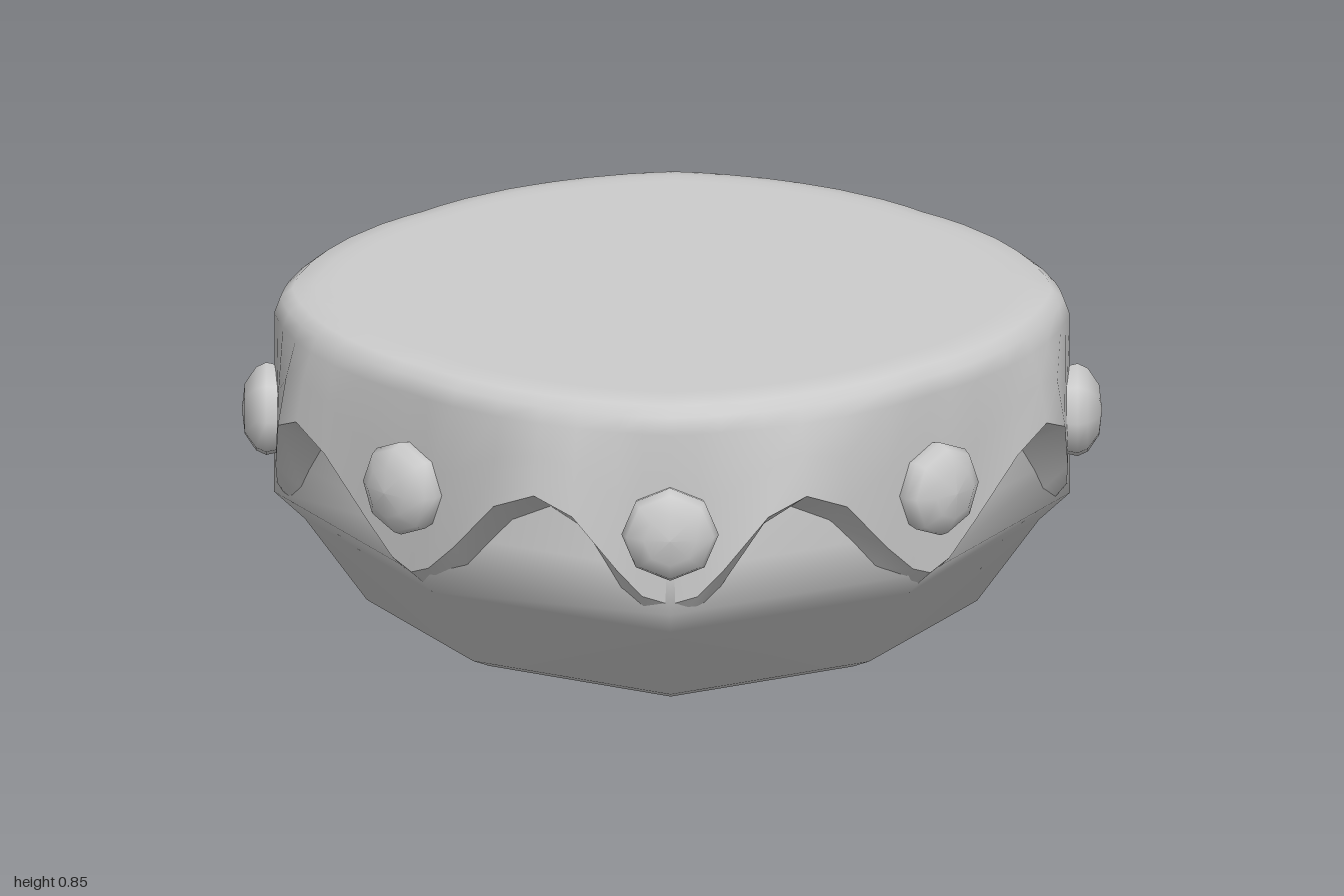
import * as THREE from 'three';

const material = new THREE.MeshStandardMaterial({ color: 0xcccccc, side: THREE.DoubleSide });
const DEG = Math.PI / 180;

// Scalloped rim over one eighth of the turn: angle, height, radius
const SCALLOP = [
  [0, 0.31, 0.905], [4, 0.335, 0.91], [9.5, 0.41, 0.92], [18, 0.55, 0.96], [25, 0.6, 0.985],
  [31, 0.56, 1.0], [37.5, 0.42, 0.985], [41, 0.355, 0.975], [45, 0.335, 0.975],
];
// Body profile: height, radius at the middle of a side
const BODY = [[0, 0], [0, 0.6], [0.005, 0.635], [0.03, 0.69], [0.24, 0.83], [0.31, 0.9], [0.42, 0.9], [0.7, 0.88]];

// Piecewise linear lookup in a list of [key, value]
function lerpList(list, key) {
  for (let i = 1; i < list.length; i++) {
    const [k0, v0] = list[i - 1], [k1, v1] = list[i];
    if (key <= k1) return v0 + (v1 - v0) * (key - k0) / (k1 - k0);
  }
  return list[list.length - 1][1];
}

// Octagon with corners pushed out to make a rounded square, relative to its side radius
function octagon(deg) {
  const a = deg * DEG, k = 1.09 * Math.SQRT1_2;
  return k / (k * Math.cos(a) + (1 - k) * Math.sin(a));
}

// Closed skin through rings listed from bottom to top; every ring has points [x, y, z]
function loft(name, rings) {
  const n = rings[0].length, index = [];
  for (let i = 0; i < rings.length - 1; i++) {
    for (let j = 0; j < n; j++) {
      const a = i * n + j, b = i * n + (j + 1) % n;
      index.push(a, b, b + n, a, b + n, a + n);
    }
  }
  const geometry = new THREE.BufferGeometry();
  geometry.setAttribute('position', new THREE.Float32BufferAttribute(rings.flat(2), 3));
  geometry.setIndex(index);
  geometry.computeVertexNormals();
  const mesh = new THREE.Mesh(geometry, material);
  mesh.name = name;
  return mesh;
}

const polar = (deg, r, y) => [r * Math.sin(deg * DEG), y, r * Math.cos(deg * DEG)];

// Mirror the eighth around the full turn
function scallopSamples() {
  const last = SCALLOP.length - 1, samples = [];
  for (let q = 0; q < 4; q++) {
    for (let i = 0; i < last; i++) samples.push({ deg: q * 90 + SCALLOP[i][0], s: SCALLOP[i] });
    for (let i = last; i > 0; i--) samples.push({ deg: q * 90 + 90 - SCALLOP[i][0], s: SCALLOP[i] });
  }
  return samples;
}

function createGem(deg) {
  const profile = [[0.1, -0.04], [0.112, 0.0], [0.12, 0.035], [0.108, 0.06], [0.065, 0.088], [0, 0.095]];
  const geometry = new THREE.LatheGeometry(profile.map(([r, y]) => new THREE.Vector2(r, y)), 8);
  geometry.rotateX(Math.PI / 2);
  const gem = new THREE.Mesh(geometry, material);
  const corner = deg % 90 !== 0;
  gem.position.set(...polar(deg, corner ? 0.965 : 0.905, corner ? 0.525 : 0.535));
  gem.rotation.y = deg * DEG;
  gem.name = 'gem';
  return gem;
}

export function createModel() {
  const model = new THREE.Group();
  model.name = 'frostedCake';

  // Eight-sided tapered body
  const corners = Array.from({ length: 8 }, (_, i) => i * 45);
  model.add(loft('body', BODY.map(([y, r]) => corners.map((d) => polar(d, r * (d % 90 ? 1.09 : 1), y)))));

  // Frosting: scalloped rim rising to a rounded flat top
  const samples = scallopSamples();
  const topRadius = (a) => lerpList([[0, 0.912], [26, 0.947], [45, 0.98]], a);
  const rim = samples.map(({ deg, s }) => polar(deg, s[2], s[1]));
  const upper = [[1, 0.775], [0.985, 0.815], [0.955, 0.837], [0.9, 0.845], [0.86, 0.845], [0, 0.845]];
  const shoulder = samples.map(({ deg, s }) => polar(deg, (s[2] + topRadius(s[0])) / 2 + 0.002, (s[1] + 0.8) / 2));
  const topRings = upper.map(([k, y]) => samples.map(({ deg, s }) => polar(deg, topRadius(s[0]) * k, y)));
  model.add(loft('frosting', [rim, shoulder, ...topRings]));

  // Lip below the frosting, sloping back to the body
  const inner = samples.map(({ deg, s }) => {
    const y = s[1] - 0.065;
    return polar(deg, lerpList(BODY.slice(1), y) * octagon(s[0]) * 0.995, y);
  });
  model.add(loft('frostingLip', [inner, rim]));

  // Gems around the rim
  const gems = new THREE.Group();
  gems.name = 'gems';
  corners.forEach((d) => gems.add(createGem(d)));
  model.add(gems);

  return model;
}
